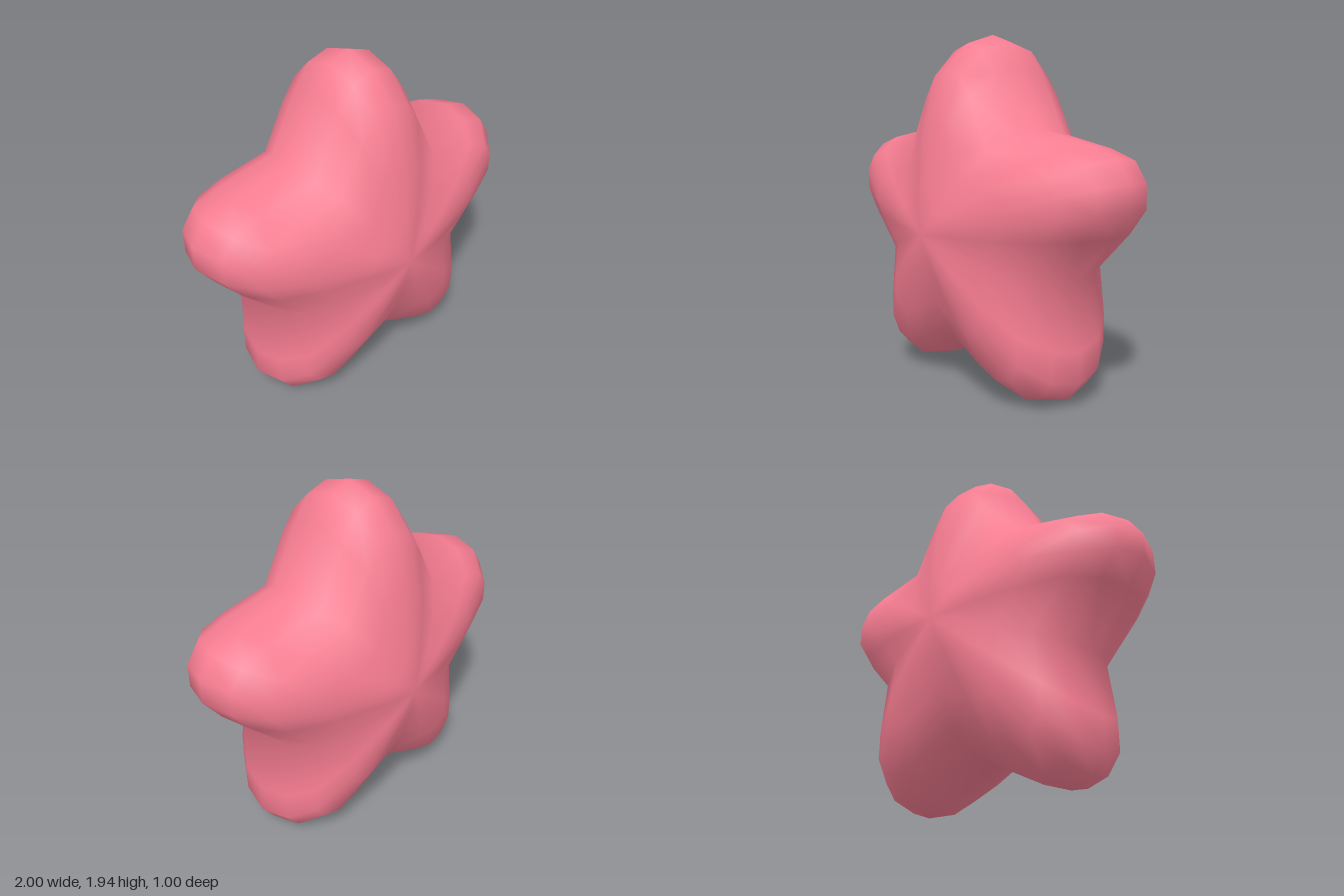
import * as THREE from 'three';

const CENTER_Y = 0.89;

// One half arm outline: [degrees from the arm axis, radius]
const HALF_ARM = [[0, 1.05], [7.3, 1.018], [14.8, 0.9], [36, 0.68]];

// Front-to-rim profile: [outline scale, z]
const HALF_PROFILE = [[0.238, 0.472], [0.552, 0.412], [0.819, 0.316], [0.952, 0.172], [1, 0]];

function starOutline() {
  const arm = [
    ...HALF_ARM.slice(1, 3).reverse().map(([a, r]) => [-a, r]),
    ...HALF_ARM,
  ];
  const points = [];
  for (let i = 0; i < 5; i++) {
    for (const [deg, r] of arm) {
      const a = THREE.MathUtils.degToRad(i * 72 + deg);
      points.push([r * Math.sin(a), r * Math.cos(a)]);
    }
  }
  return points;
}

// Puffy body: star rings swelling from the front pole to the rim and back
function puffyStarGeometry() {
  const outline = starOutline();
  const n = outline.length;
  const rings = [
    ...HALF_PROFILE,
    ...HALF_PROFILE.slice(0, -1).reverse().map(([s, z]) => [s, -z]),
  ];
  const positions = [];
  const index = [];
  for (const [s, z] of rings) {
    for (const [x, y] of outline) positions.push(x * s, y * s, z);
  }
  const front = rings.length * n;
  const back = front + 1;
  positions.push(0, 0, 0.5, 0, 0, -0.5);

  const last = (rings.length - 1) * n;
  for (let j = 0; j < n; j++) {
    const k = (j + 1) % n;
    index.push(front, k, j);
    for (let i = 0; i < rings.length - 1; i++) {
      const a = i * n + j, b = i * n + k;
      index.push(a, b, b + n, a, b + n, a + n);
    }
    index.push(back, last + j, last + k);
  }

  const geometry = new THREE.BufferGeometry();
  geometry.setAttribute('position', new THREE.Float32BufferAttribute(positions, 3));
  geometry.setIndex(index);
  geometry.computeVertexNormals();
  return geometry;
}

export function createModel() {
  const group = new THREE.Group();
  group.name = 'puffyStar';
  const material = new THREE.MeshStandardMaterial({ color: 0xf77d92 });
  const star = new THREE.Mesh(puffyStarGeometry(), material);
  star.name = 'starBody';
  star.position.y = CENTER_Y;
  group.add(star);
  return group;
}
